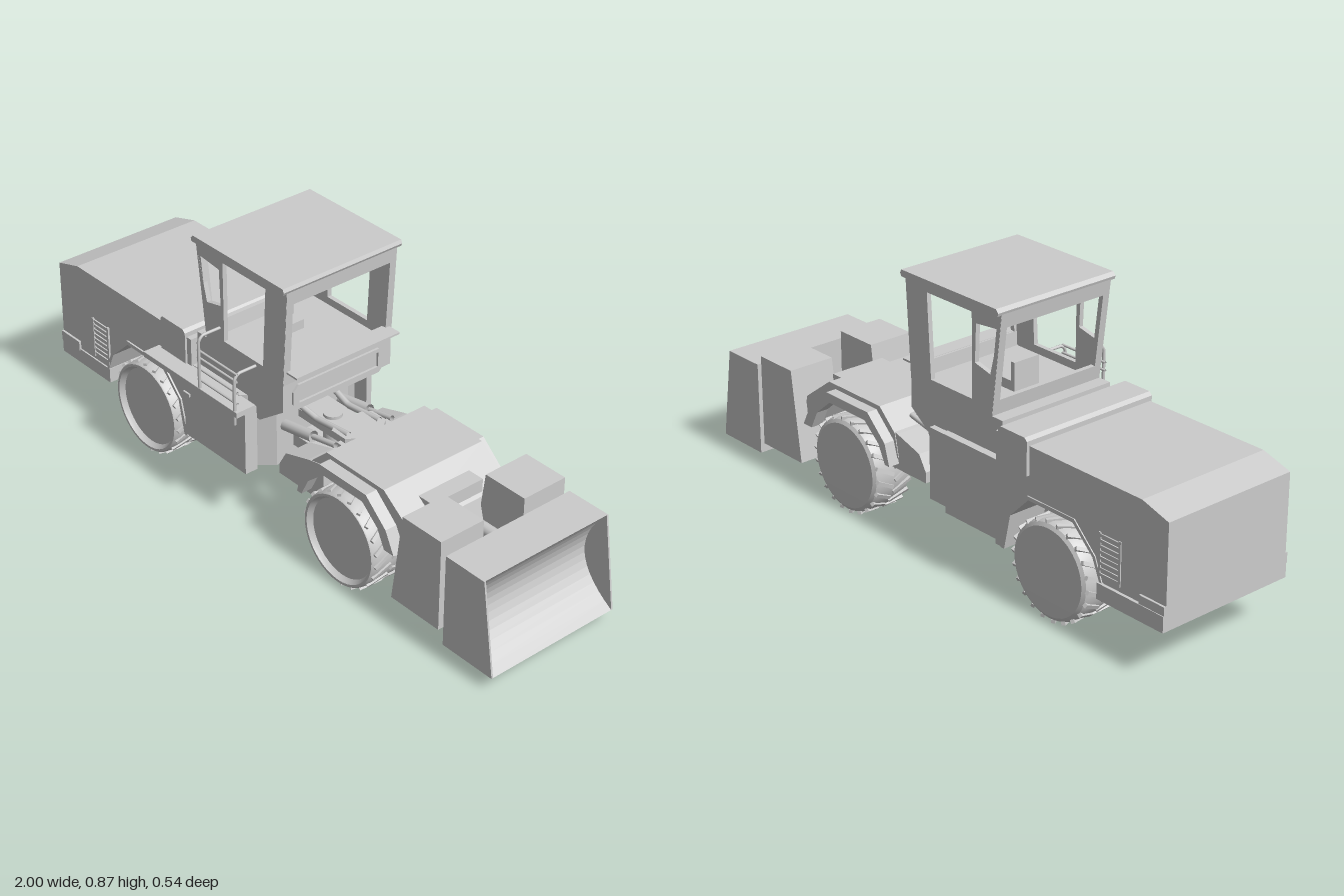
import * as THREE from 'three';
import { toCreasedNormals } from 'three/addons/utils/BufferGeometryUtils.js';

const mat = new THREE.MeshStandardMaterial({ color: 0xcccccc, side: THREE.DoubleSide });
const ZC = -0.0225; // middle plane of the machine

export function createModel() {
  const root = new THREE.Group();

  const add = (name, geo, parent = root) => {
    const m = new THREE.Mesh(geo, mat);
    m.name = name;
    parent.add(m);
  };
  const box = (name, x0, x1, y0, y1, z0, z1) =>
    add(name, new THREE.BoxGeometry(x1 - x0, y1 - y0, z1 - z0)
      .translate((x0 + x1) / 2, (y0 + y1) / 2, (z0 + z1) / 2));
  const poly = (pts) => new THREE.Shape(pts.map((p) => new THREE.Vector2(...p)));
  const extrude = (shape, depth) =>
    new THREE.ExtrudeGeometry(shape, { depth, bevelEnabled: false, curveSegments: 14 });
  // side profile in x, y (points or a shape) pulled from z0 to z1
  const side = (name, profile, z0, z1, holes = []) => {
    const s = Array.isArray(profile) ? poly(profile) : profile;
    holes.forEach((h) => s.holes.push(poly(h)));
    add(name, extrude(s, z1 - z0).translate(0, 0, z0));
  };
  const rod = (name, pts, r, sides = 8) => {
    const v = pts.map((p) => new THREE.Vector3(...p));
    const straight = v.length === 2;
    const curve = straight ? new THREE.LineCurve3(...v) : new THREE.CatmullRomCurve3(v, false, 'catmullrom', 0.1);
    add(name, new THREE.TubeGeometry(curve, straight ? 1 : 20, r, sides));
  };
  const both = (fn) => [1, -1].forEach((s) => fn(s));

  // Engine hood with wheel arches, and the core between the wheels
  side('engineHood', [[-1, 0.2], [-0.75, 0.2], [-0.72, 0.27], [-0.64, 0.345], [-0.46, 0.345],
    [-0.385, 0.27], [-0.36, 0.155], [-0.32, 0.155], [-0.32, 0.51], [-0.9, 0.51], [-1, 0.48]], -0.255, 0.21);
  box('rearChassis', -0.98, -0.33, 0.155, 0.36, -0.12, 0.075);
  box('rearBumper', -1, -0.745, 0.155, 0.205, -0.265, 0.215);
  both((s) => {
    const z = ZC + s * 0.232;
    box('bumperLamp', -1, -0.905, 0.2, 0.232, z - 0.008, z + 0.008);
    // side grille
    for (let i = 0; i < 8; i++) {
      const y = 0.225 + i * 0.017;
      box('grilleSlat', -0.82, -0.75, y, y + 0.009, z - 0.004, z + 0.005);
    }
    for (const x of [-0.828, -0.75]) box('grillePost', x, x + 0.008, 0.22, 0.357, z - 0.004, z + 0.007);
    // rim around the rear arch
    side('archTrim', [[-0.76, 0.2], [-0.73, 0.275], [-0.645, 0.357], [-0.455, 0.357], [-0.375, 0.275], [-0.345, 0.155],
      [-0.36, 0.155], [-0.385, 0.27], [-0.46, 0.345], [-0.64, 0.345], [-0.72, 0.27], [-0.75, 0.2]], z - 0.004, z + 0.006);
  });
  side('hoodBand', [[-0.46, 0.42], [-0.34, 0.42], [-0.34, 0.525], [-0.35, 0.535], [-0.45, 0.535], [-0.46, 0.525]], -0.265, 0.217);

  // Hull below the cab, chamfered at the front in plan
  const plan = poly([[-0.34, -0.205], [-0.1, -0.205], [-0.03, -0.12], [-0.03, 0.16], [-0.1, 0.255], [-0.34, 0.255]]);
  add('cabHull', extrude(plan, 0.25).rotateX(-Math.PI / 2).translate(0, 0.17, 0));
  side('hullSide', [[-0.34, 0.19], [-0.03, 0.19], [-0.03, 0.42], [-0.34, 0.42]], -0.255, -0.235);
  box('sideDoor', -0.32, -0.03, 0.19, 0.41, 0.195, 0.24);
  box('doorHandle', -0.32, -0.29, 0.335, 0.345, 0.24, 0.246);
  side('cabBase', [[-0.32, 0.41], [-0.03, 0.36], [0.08, 0.44], [0.08, 0.53], [-0.32, 0.53]], -0.23, 0.185);

  // Panel on the front of the cab base
  const facing = (shape, depth, x) => extrude(shape, depth).rotateY(Math.PI / 2).translate(x, 0, ZC);
  const trim = poly([[-0.155, 0.435], [0.155, 0.435], [0.175, 0.455], [0.175, 0.497], [0.155, 0.517],
    [-0.155, 0.517], [-0.175, 0.497], [-0.175, 0.455]]);
  trim.holes.push(poly([[-0.152, 0.455], [0.152, 0.455], [0.152, 0.505], [-0.152, 0.505]]));
  add('frontPanelTrim', facing(trim, 0.008, 0.08));

  // Cab walls with open windows
  both((s) => {
    const z = ZC + s * 0.2;
    side('cabSide', [[-0.275, 0.53], [0.08, 0.53], [0.1, 0.85], [-0.315, 0.85]], z - 0.0075, z + 0.0075, [
      [[-0.19, 0.555], [-0.01, 0.555], [0.005, 0.82], [-0.19, 0.82]],
      [[-0.268, 0.655], [-0.203, 0.67], [-0.208, 0.79], [-0.305, 0.8]]]);
  });
  const windowWall = (name, x, slope, depth) => {
    const s = poly([[-0.207, 0.53], [0.207, 0.53], [0.207, 0.85], [-0.207, 0.85]]);
    s.holes.push(poly([[-0.183, 0.575], [0.183, 0.575], [0.183, 0.802], [-0.183, 0.802]]));
    const g = facing(s, depth, x);
    const p = g.attributes.position;
    for (let i = 0; i < p.count; i++) p.setX(i, p.getX(i) + (p.getY(i) - 0.53) * slope);
    g.computeVertexNormals();
    add(name, g);
  };
  windowWall('cabFront', 0.065, 0.0625, 0.016);
  windowWall('cabBack', -0.276, -0.125, 0.016);
  side('cabRoof', [[-0.315, 0.845], [0.1, 0.845], [0.105, 0.855], [0.1, 0.866], [-0.308, 0.866], [-0.318, 0.855]], -0.245, 0.2);
  box('windshieldSill', 0.075, 0.13, 0.57, 0.576, -0.22, 0.175);

  // Seat
  box('seatBack', -0.19, -0.175, 0.53, 0.62, -0.07, 0.025);
  box('seatCushion', -0.19, -0.13, 0.53, 0.56, -0.07, 0.025);

  // Side platform and handrails
  box('platform', -0.48, -0.03, 0.4, 0.418, 0.2, 0.27);
  box('platformEdge', -0.48, -0.32, 0.37, 0.4, 0.2, 0.217);
  rod('handrailRear', [[-0.21, 0.41, 0.265], [-0.21, 0.575, 0.265], [-0.21, 0.593, 0.25], [-0.21, 0.593, 0.185]], 0.005);
  rod('handrailFront', [[-0.045, 0.37, 0.265], [-0.045, 0.52, 0.265], [-0.045, 0.54, 0.25], [-0.045, 0.54, 0.185]], 0.005);
  for (const y of [0.44, 0.478, 0.515, 0.54]) rod('handrailBar', [[-0.225, y, 0.258], [-0.04, y, 0.258]], 0.004);

  // Articulated hitch
  box('hitchBeam', -0.05, 0.25, 0.215, 0.255, -0.1, 0.055);
  box('hitchTop', -0.05, 0.2, 0.31, 0.335, -0.08, 0.035);
  add('hitchPin', new THREE.CylinderGeometry(0.03, 0.03, 0.15, 16).translate(0.06, 0.27, ZC));
  const yoke = poly([[0.13, -0.03], [0.15, -0.06], [0.21, -0.06], [0.23, -0.03], [0.23, 0.07], [0.21, 0.1], [0.15, 0.1], [0.13, 0.07]]);
  add('hitchYoke', extrude(yoke, 0.015).rotateX(-Math.PI / 2).translate(0, 0.345, 0));
  both((s) => {
    const z = ZC + s * 0.11;
    rod('steeringCylinder', [[-0.04, 0.3, z], [0.1, 0.325, z]], 0.018, 12);
    rod('steeringPiston', [[0.1, 0.325, z], [0.2, 0.345, z]], 0.009);
    rod('hose', [[-0.04, 0.37, z - s * 0.04], [0.06, 0.345, z - s * 0.05], [0.2, 0.36, z - s * 0.05]], 0.01);
    const w = ZC + s * 0.145;
    side('frontFrameArm', [[0.04, 0.2], [0.24, 0.2], [0.24, 0.33], [0.17, 0.315], [0.07, 0.285], [0.04, 0.235]], w - 0.045, w + 0.045);
  });

  // Front hood, fenders and chassis
  side('frontHood', [[0.165, 0.24], [0.18, 0.315], [0.25, 0.38], [0.495, 0.38], [0.61, 0.295], [0.63, 0.22],
    [0.56, 0.22], [0.52, 0.29], [0.45, 0.34], [0.28, 0.34], [0.21, 0.28], [0.19, 0.22]], -0.215, 0.165);
  box('frontChassis', 0.19, 0.6, 0.13, 0.345, -0.12, 0.075);
  both((s) => {
    const z = ZC + s * 0.207;
    side('frontFender', [[0.165, 0.22], [0.185, 0.29], [0.265, 0.365], [0.465, 0.365], [0.55, 0.29], [0.585, 0.22],
      [0.545, 0.22], [0.515, 0.28], [0.45, 0.335], [0.28, 0.335], [0.215, 0.28], [0.185, 0.22]], z - 0.021, z + 0.021);
  });

  // Wheels: rimmed on the left flank, capped on the other
  const tread = [[0, -0.072], [0.135, -0.072], [0.149, -0.06], [0.152, 0], [0.152, 0.05]];
  const rimmed = [[0.149, 0.068], [0.146, 0.072], [0.138, 0.072], [0.132, 0.06], [0.128, 0.055], [0, 0.055]];
  const capped = [[0.147, 0.063], [0.136, 0.07], [0, 0.073]];
  const wheel = (name, x, s) => {
    const g = new THREE.Group();
    g.name = name;
    g.position.set(x, 0.158, ZC + s * 0.172);
    const pts = [...tread, ...(s > 0 ? rimmed : capped)].map((p) => new THREE.Vector2(...p));
    const tire = toCreasedNormals(new THREE.LatheGeometry(pts, 40).rotateX(Math.PI / 2), 0.5);
    if (s < 0) tire.rotateY(Math.PI);
    add('tire', tire, g);
    // slanted lugs, two rows
    for (let i = 0; i < 22; i++) both((t) => {
      const a = ((i + (t > 0 ? 0.5 : 0)) / 22) * Math.PI * 2;
      const lug = new THREE.BoxGeometry(0.012, 0.012, 0.07).rotateY(t * 0.5);
      add('treadLug', lug.translate(0, 0.151, t * 0.033).rotateZ(a), g);
    });
    root.add(g);
  };
  for (const x of [-0.55, 0.365]) {
    both((s) => wheel(x < 0 ? 'rearWheel' : 'frontWheel', x, s));
    add('axle', new THREE.CylinderGeometry(0.05, 0.05, 0.3, 16).rotateX(Math.PI / 2).translate(x, 0.158, ZC));
  }

  // Push blocks behind the blade, with couplers and rams
  both((s) => {
    const z = ZC + s * 0.158;
    side('pushBlock', [[0.59, 0.085], [0.785, 0.085], [0.785, 0.385], [0.63, 0.385]], z - 0.08, z + 0.08);
    for (const y of [0.16, 0.235]) box('coupler', 0.77, 0.825, y, y + 0.02, z - 0.06, z + 0.06);
    box('couplerPlate', 0.785, 0.8, 0.15, 0.26, z - 0.04, z + 0.04);
    const r = ZC + s * 0.058;
    rod('ramBody', [[0.56, 0.22, r], [0.73, 0.22, r]], 0.02, 12);
    rod('ramRod', [[0.73, 0.22, r - s * 0.01], [0.82, 0.22, r - s * 0.01]], 0.009);
  });

  // Blade with a scooped front and flat cheeks
  const scoop = new THREE.Shape();
  scoop.moveTo(0.805, 0.045);
  scoop.lineTo(1, 0.045);
  scoop.quadraticCurveTo(0.79, 0.17, 0.955, 0.35);
  scoop.lineTo(0.805, 0.35);
  side('blade', scoop, -0.258, 0.21);
  both((s) => {
    const z = ZC + s * 0.235;
    side('bladeCheek', [[0.805, 0.045], [1, 0.045], [0.955, 0.35], [0.805, 0.35]], z - 0.003, z + 0.003);
  });

  return root;
}
